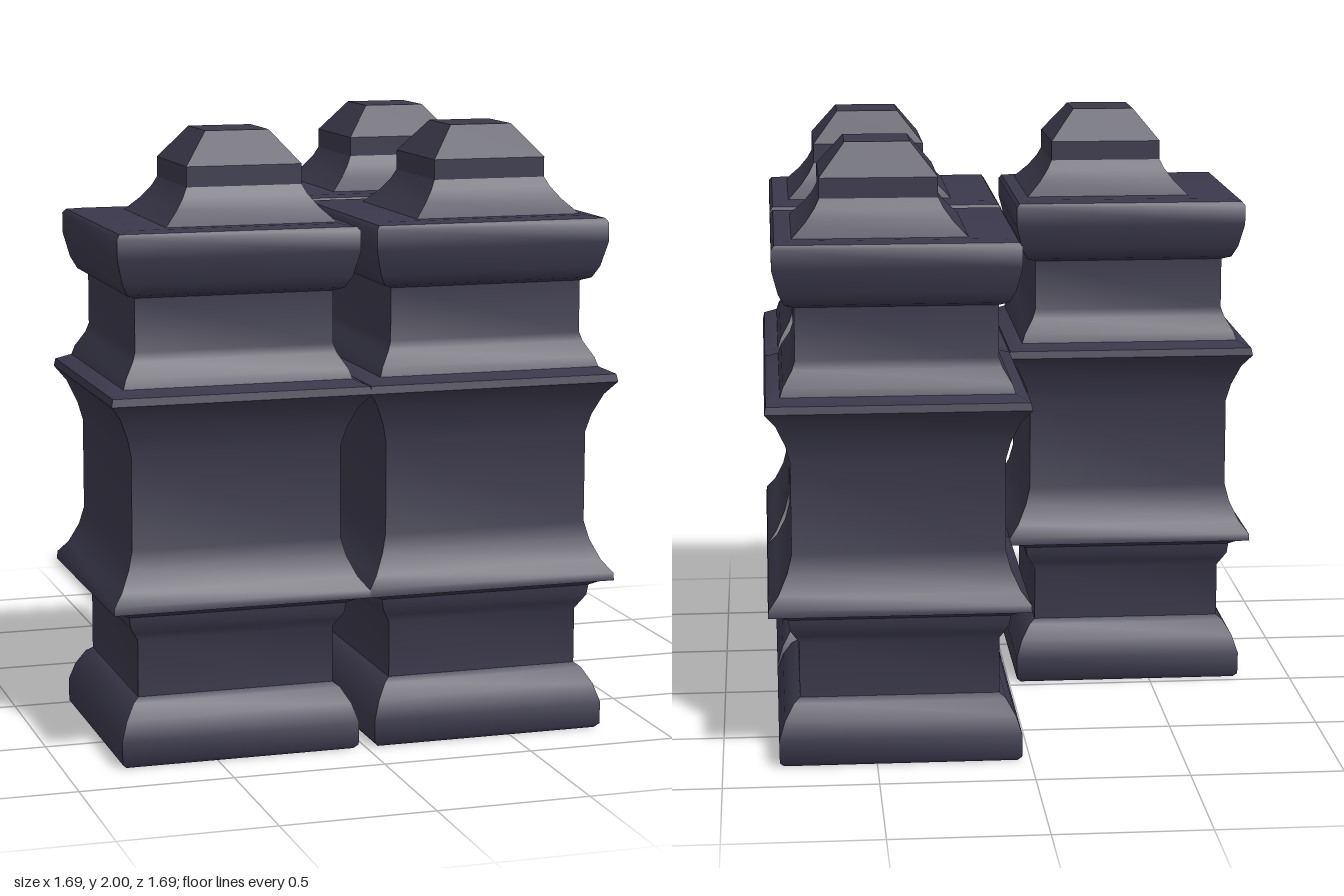
import * as THREE from 'three';
import { toCreasedNormals } from 'three/addons/utils/BufferGeometryUtils.js';

const slate = new THREE.MeshStandardMaterial({ color: 0x3a384b });
slate.name = 'dark slate';

// Square turned solid: profile points are [half width, y], listed from bottom to top on the outside
function squareLathe(profile, crease) {
  const points = profile.map(([half, y]) => new THREE.Vector2(half * Math.SQRT2, y));
  const geometry = new THREE.LatheGeometry(points, 4, Math.PI / 4);
  return toCreasedNormals(geometry, crease);
}

// Stepped socket underneath, moulded foot, waist, two sharp flanges and a flared head
const shaftProfile = [
  [0, 0.29], [0.105, 0.29], [0.19, 0.18], [0.19, 0.1], [0.235, 0.05], [0.28, 0.01],
  [0.38, 0], [0.394, 0.015], [0.395, 0.09], [0.375, 0.15], [0.345, 0.2], [0.325, 0.215],
  [0.325, 0.4], [0.34, 0.425], [0.355, 0.45], [0.36, 0.485], [0.385, 0.5],
  [0.424, 0.51], [0.422, 0.535], [0.39, 0.575], [0.36, 0.64], [0.345, 0.7],
  [0.345, 1.0], [0.36, 1.06], [0.39, 1.13], [0.425, 1.175], [0.42, 1.2],
  [0.375, 1.22], [0.365, 1.25], [0.335, 1.3], [0.325, 1.33],
  [0.325, 1.5], [0.355, 1.512], [0.375, 1.55], [0.395, 1.63], [0.395, 1.695],
  [0.385, 1.708], [0.34, 1.715], [0, 1.715],
];

// Stepped pyramid on top
const capProfile = [
  [0.285, 1.71], [0.235, 1.76], [0.205, 1.8], [0.19, 1.83],
  [0.19, 1.895], [0.105, 2], [0, 2],
];

export function createModel() {
  const model = new THREE.Group();
  model.name = 'pillarCluster';

  const shaftGeometry = squareLathe(shaftProfile, 0.75);
  const capGeometry = squareLathe(capProfile, 0.4);

  // Three pillars in an L; the caps sit slightly off centre
  const pillars = [
    ['leftFrontPillar', 0.422, 0.422, 0.472, 0.442],
    ['rightFrontPillar', -0.422, 0.422, -0.357, 0.442],
    ['leftBackPillar', 0.422, -0.422, 0.472, -0.445],
  ];
  for (const [name, x, z, capX, capZ] of pillars) {
    const pillar = new THREE.Group();
    pillar.name = name;
    const shaft = new THREE.Mesh(shaftGeometry, slate);
    shaft.name = 'shaft';
    shaft.position.set(x, 0, z);
    const cap = new THREE.Mesh(capGeometry, slate);
    cap.name = 'cap';
    cap.position.set(capX, 0, capZ);
    pillar.add(shaft, cap);
    model.add(pillar);
  }
  return model;
}
